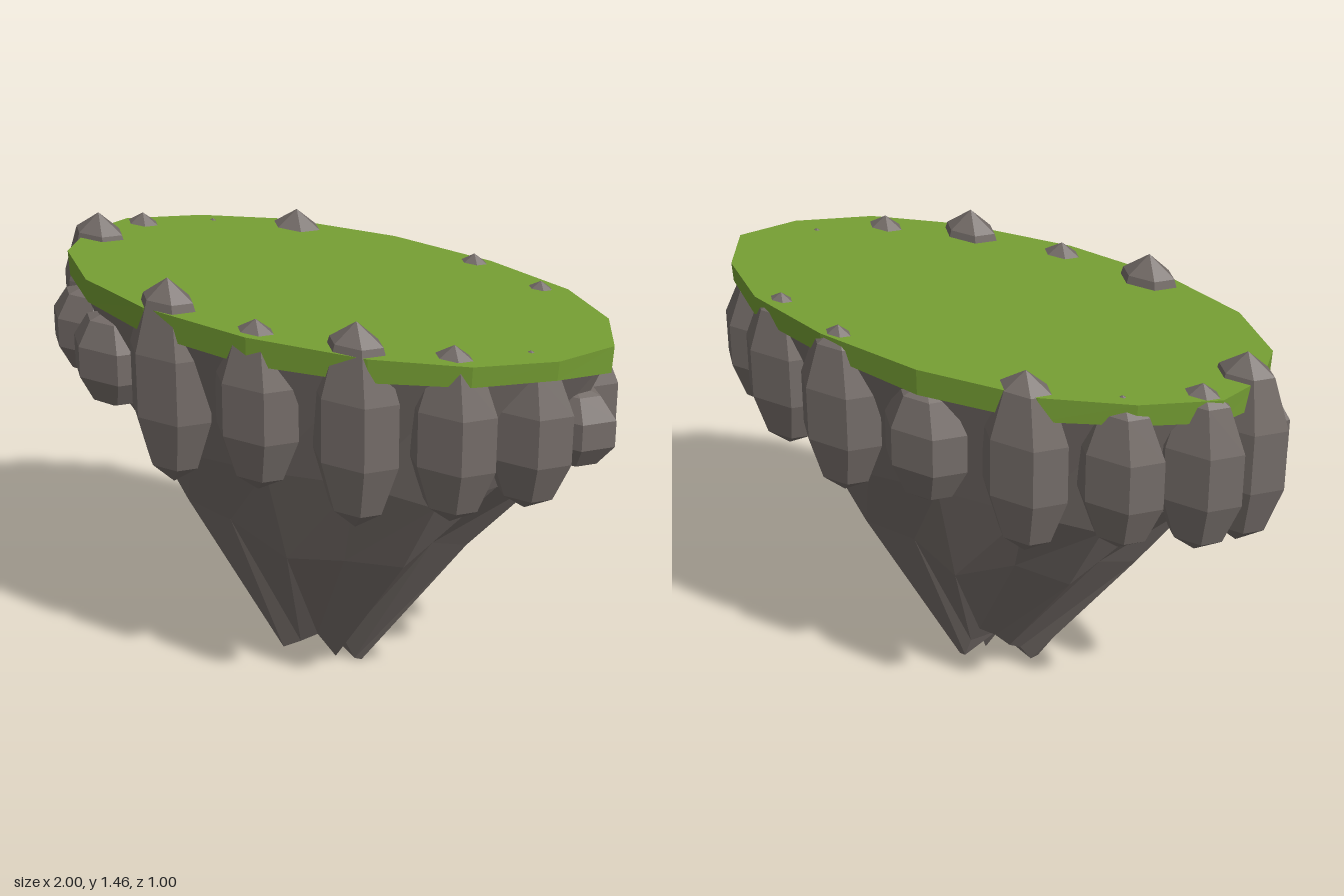
import * as THREE from 'three';

const rockMat = new THREE.MeshStandardMaterial({ color: 0x756d69, flatShading: true });
rockMat.name = 'stone grey';
const grassMat = new THREE.MeshStandardMaterial({ color: 0x769f34, flatShading: true });
grassMat.name = 'grass green';

// Plan of the island as [x, z], running from +x round through +z
const outline = [
  [0.975, 0], [0.88, 0.18], [0.68, 0.34], [0.39, 0.44], [0, 0.48], [-0.39, 0.44], [-0.67, 0.34], [-0.86, 0.17],
  [-0.905, 0], [-0.86, -0.17], [-0.66, -0.32], [-0.39, -0.43], [0, -0.467], [0.37, -0.425], [0.68, -0.33], [0.88, -0.18],
];

// Closed faceted solid through rings of [x, y, z], listed from top to bottom
function loft(rings, top, bottom) {
  const pos = [];
  const tri = (...pts) => pts.forEach((p) => pos.push(...p));
  const n = rings[0].length;
  for (let i = 0; i < n; i++) {
    const j = (i + 1) % n;
    tri(top, rings[0][j], rings[0][i]);
    for (let k = 0; k + 1 < rings.length; k++) {
      const u = rings[k], l = rings[k + 1];
      tri(u[i], u[j], l[j]);
      tri(u[i], l[j], l[i]);
    }
    const last = rings[rings.length - 1];
    tri(bottom, last[i], last[j]);
  }
  const g = new THREE.BufferGeometry();
  g.setAttribute('position', new THREE.Float32BufferAttribute(pos, 3));
  g.computeVertexNormals();
  return g;
}

// Outline scaled by s(i) at height y(i)
const ring = (s, y) => outline.map(([x, z], i) => [x * s(i), y(i), z * s(i)]);

function add(group, name, geometry, material) {
  const m = new THREE.Mesh(geometry, material);
  m.name = name;
  group.add(m);
  return m;
}

export function createModel() {
  const island = new THREE.Group();
  island.name = 'floatingIsland';

  // Grass slab with an uneven lower edge
  const hem = [1.275, 1.3, 1.295, 1.285, 1.272, 1.275, 1.285, 1.28, 1.27, 1.285, 1.29, 1.28, 1.275, 1.29, 1.285, 1.3];
  add(island, 'grass', loft([ring(() => 1, () => 1.362), ring(() => 0.995, (i) => hem[i])],
    [0, 1.362, 0], [0, 1.28, 0]), grassMat);

  // Tapering rock body, creased lower down and ending in several points
  const shoulder = [0.78, 0.77, 0.79, 0.75, 0.78, 0.76, 0.79, 0.78, 0.77, 0.77, 0.79, 0.75, 0.77, 0.76, 0.79, 0.77];
  const waist = [0.53, 0.5, 0.58, 0.5, 0.52, 0.55, 0.6, 0.54, 0.57, 0.5, 0.57, 0.5, 0.56, 0.5, 0.57, 0.5];
  const waistY = [0.57, 0.6, 0.55, 0.53, 0.5, 0.58, 0.59, 0.57, 0.58, 0.6, 0.55, 0.58, 0.5, 0.55, 0.54, 0.58];
  const points = [
    [0.125, 0.005, -0.03], [0.1, 0.005, -0.025], [0.08, 0.09, 0.01], [0.05, 0.02, 0.015],
    [0, 0.11, 0.05], [-0.06, 0.07, 0.06], [-0.125, 0.03, 0.065], [-0.135, 0.03, 0.05],
    [-0.13, 0.04, 0.01], [-0.1, 0.09, -0.01], [-0.07, 0.1, -0.03], [-0.02, 0.13, -0.04],
    [0.03, 0.15, -0.06], [0.07, 0.08, -0.05], [0.1, 0.0, -0.04], [0.12, 0.0, -0.04],
  ];
  add(island, 'rockBody', loft([
    ring(() => 0.985, () => 1.325),
    ring((i) => shoulder[i], (i) => 0.86 + 0.03 * Math.sin(i * 2.3)),
    ring((i) => waist[i], (i) => waistY[i]),
    points,
  ], [0, 1.32, 0], [0, 0.11, 0.005]), rockMat);

  // Long faceted boulders round the rim: x, z, bottom, top
  const boulders = [
    [0.85, 0, 0.94, 1.22], [0.78, 0.16, 0.85, 1.368], [0.6, 0.3, 0.82, 1.4], [0.325, 0.39, 0.77, 1.45],
    [0, 0.42, 0.83, 1.4], [-0.33, 0.39, 0.76, 1.455], [-0.61, 0.3, 0.92, 1.26], [-0.79, 0.16, 0.94, 1.26],
    [-0.853, 0, 0.78, 1.44], [-0.79, -0.165, 0.82, 1.397], [-0.6, -0.3, 0.84, 1.368], [-0.33, -0.393, 0.79, 1.42],
    [0, -0.42, 0.88, 1.3], [0.325, -0.393, 0.8, 1.39], [0.6, -0.3, 0.84, 1.385], [0.785, -0.16, 0.86, 1.33],
  ];
  const stone = new THREE.SphereGeometry(1, 6, 5);
  for (const [x, z, low, high] of boulders) {
    const b = add(island, 'boulder', stone, rockMat);
    b.position.set(x, (low + high) / 2, z);
    b.scale.set(0.154, (high - low) / 2, 0.097);
  }
  return island;
}
